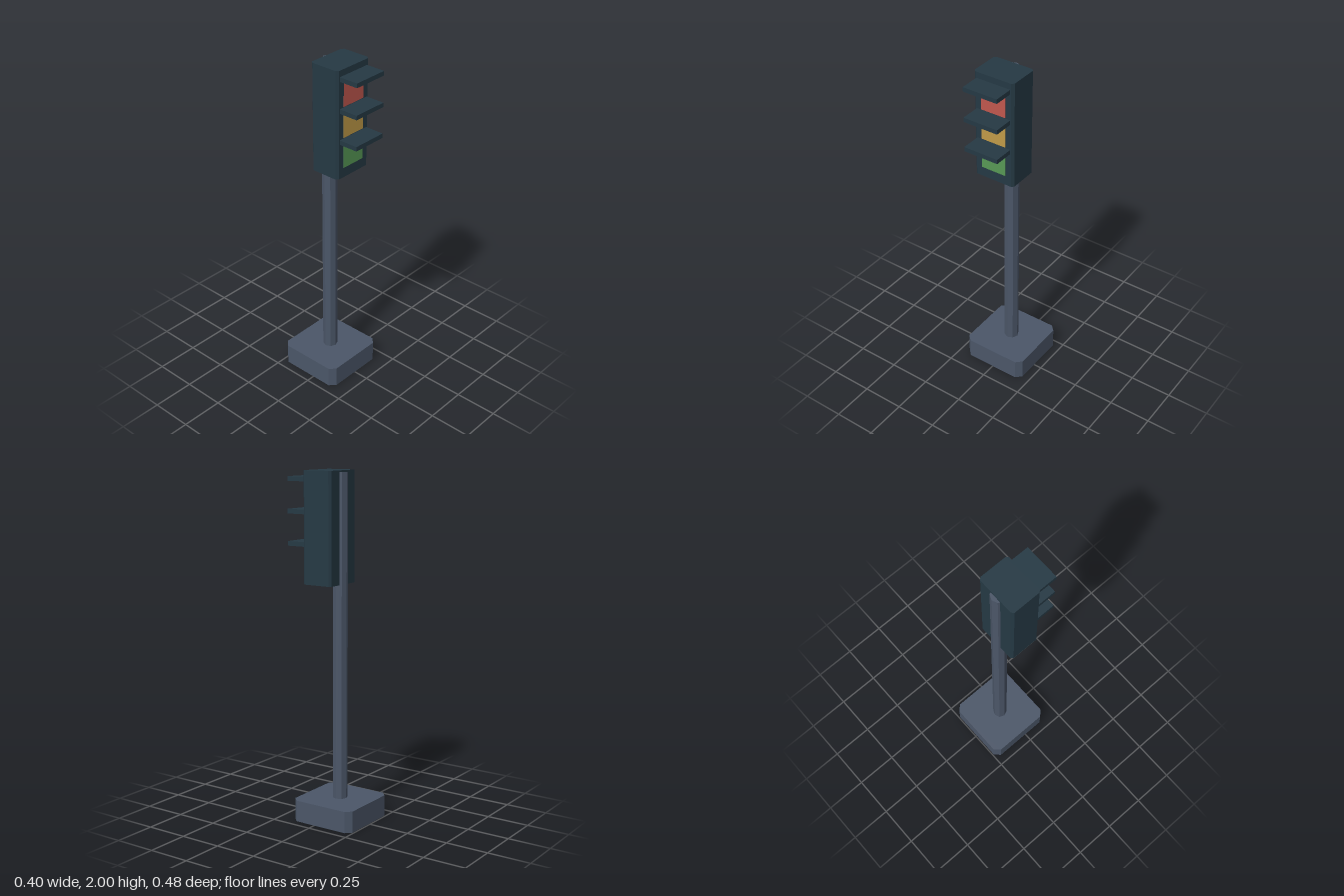
import * as THREE from 'three';

const material = (name, color) => {
  const m = new THREE.MeshStandardMaterial({ color });
  m.name = name;
  return m;
};

// Upright block whose vertical edges are chamfered
function chamferedBlock(width, depth, height, c) {
  const x = width / 2, z = depth / 2;
  const shape = new THREE.Shape([
    [-x + c, -z], [x - c, -z], [x, -z + c], [x, z - c],
    [x - c, z], [-x + c, z], [-x, z - c], [-x, -z + c],
  ].map(([a, b]) => new THREE.Vector2(a, b)));
  return new THREE.ExtrudeGeometry(shape, { depth: height, bevelEnabled: false })
    .rotateX(-Math.PI / 2);
}

export function createModel() {
  const model = new THREE.Group();
  model.name = 'trafficLight';

  const grey = material('slate grey', 0x4b5668);
  const dark = material('dark teal', 0x253944);
  const lamps = [
    ['red', material('signal red', 0xc0574e)],
    ['amber', material('signal amber', 0xc09a48)],
    ['green', material('signal green', 0x579855)],
  ];

  const add = (name, geometry, mat, x, y, z) => {
    const mesh = new THREE.Mesh(geometry, mat);
    mesh.name = name;
    mesh.position.set(x, y, z);
    model.add(mesh);
  };

  // Foot and eight-sided pole, set behind the housing centre
  const poleZ = -0.043;
  add('base', chamferedBlock(0.4, 0.4, 0.125, 0.033), grey, 0, 0, poleZ);
  const pole = new THREE.CylinderGeometry(0.043, 0.043, 1.87, 8).toNonIndexed();
  pole.computeVertexNormals();
  add('pole', pole, grey, 0, 0.12 + 0.935, poleZ);

  // Signal housing
  add('housing', chamferedBlock(0.25, 0.187, 0.63, 0.013), dark, 0, 1.37, 0.0315);

  // Square lamps, each under a flat visor
  lamps.forEach(([name, mat], i) => {
    const y = 1.938 - i * 0.18;
    add(name + 'Lamp', new THREE.BoxGeometry(0.152, 0.15, 0.006), mat, 0, y - 0.075, 0.125);
    add(name + 'Visor', new THREE.BoxGeometry(0.212, 0.026, 0.12), dark, 0, y + 0.013, 0.181);
  });

  return model;
}
